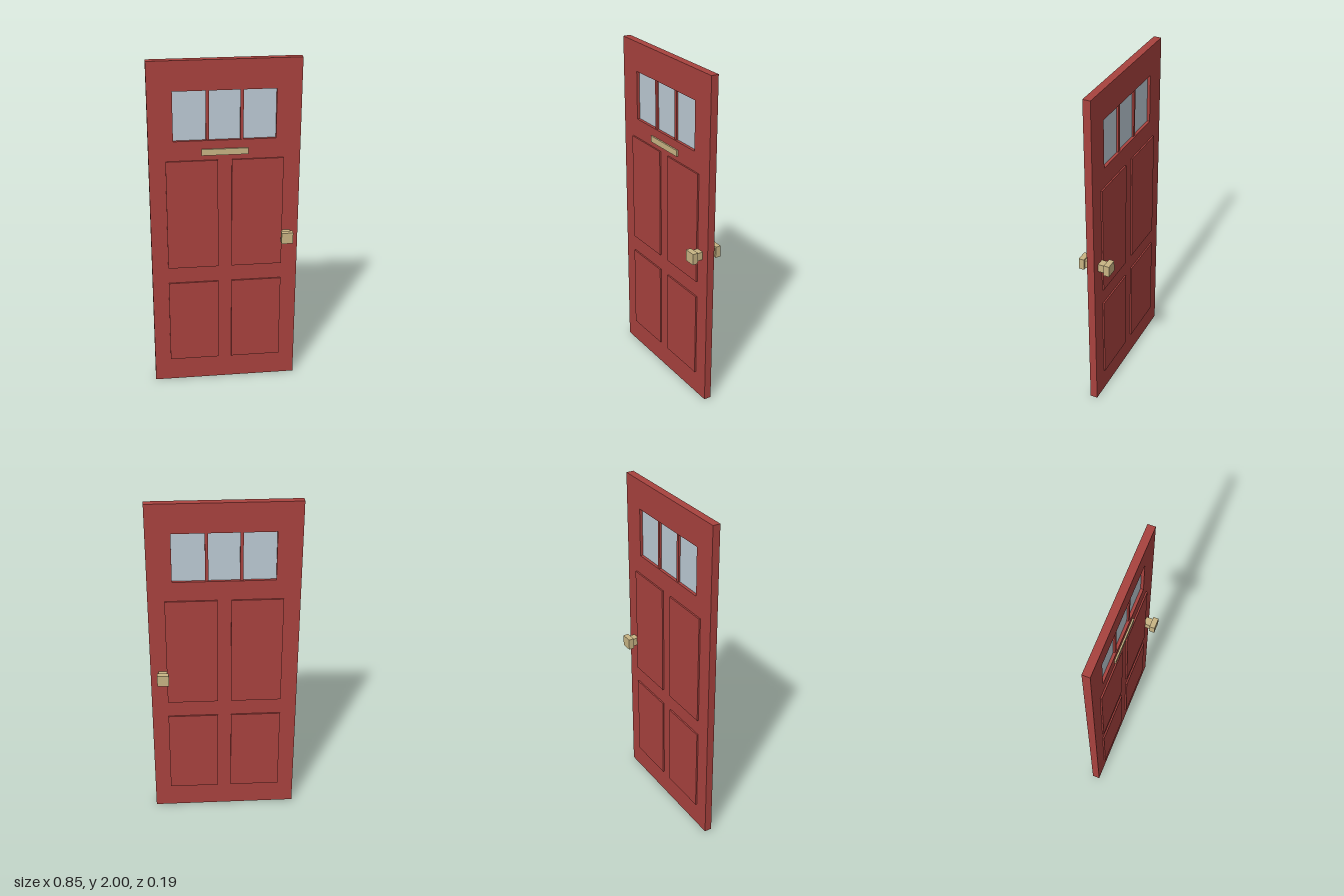
import * as THREE from 'three';

const material = (color) => new THREE.MeshStandardMaterial({ color });

export function createModel() {
  const door = new THREE.Group();
  door.name = 'door';
  const red = material(0xa8423e);
  const brass = material(0xc8b484);
  const glass = material(0xbccad4);

  const T = 0.022; // half thickness of the slab

  function box(name, mat, w, h, d, x, y, z, parent = door) {
    const mesh = new THREE.Mesh(new THREE.BoxGeometry(w, h, d), mat);
    mesh.name = name;
    mesh.position.set(x, y, z);
    parent.add(mesh);
    return mesh;
  }

  // Slab with a window opening
  const outline = new THREE.Shape([[-0.427, 0], [0.427, 0], [0.427, 2], [-0.427, 2]]
    .map(([x, y]) => new THREE.Vector2(x, y)));
  outline.holes.push(new THREE.Path([[-0.288, 1.545], [-0.288, 1.83], [0.288, 1.83], [0.288, 1.545]]
    .map(([x, y]) => new THREE.Vector2(x, y))));
  const slabGeometry = new THREE.ExtrudeGeometry(outline, { depth: 2 * T, bevelEnabled: false });
  slabGeometry.translate(0, 0, -T);
  const slab = new THREE.Mesh(slabGeometry, red);
  slab.name = 'slab';
  door.add(slab);

  // Window pane and its recessed glazing bars
  box('windowPane', glass, 0.576, 0.285, 0.01, 0, 1.6875, 0);
  for (const x of [-0.096, 0.096]) box('glazingBar', red, 0.018, 0.285, 0.032, x, 1.6875, 0);

  // Raised panels on both faces
  for (const side of [1, -1]) {
    for (const x of [-0.186, 0.186]) {
      for (const [bottom, top] of [[0.145, 0.667], [0.767, 1.43]]) {
        box('raisedPanel', red, 0.294, top - bottom, 0.012, x, (bottom + top) / 2, side * 0.025);
      }
    }
  }

  // Letter plate on the front
  box('letterPlate', brass, 0.262, 0.036, 0.012, 0, 1.478, 0.025);

  // Square knob on both faces
  for (const side of [1, -1]) {
    const knob = new THREE.Group();
    knob.name = side > 0 ? 'frontKnob' : 'backKnob';
    door.add(knob);
    box('knobStem', brass, 0.048, 0.048, 0.041, 0.356, 0.954, side * 0.0405, knob);
    box('knobCap', brass, 0.067, 0.067, 0.032, 0.356, 0.954, side * 0.077, knob);
  }

  return door;
}
